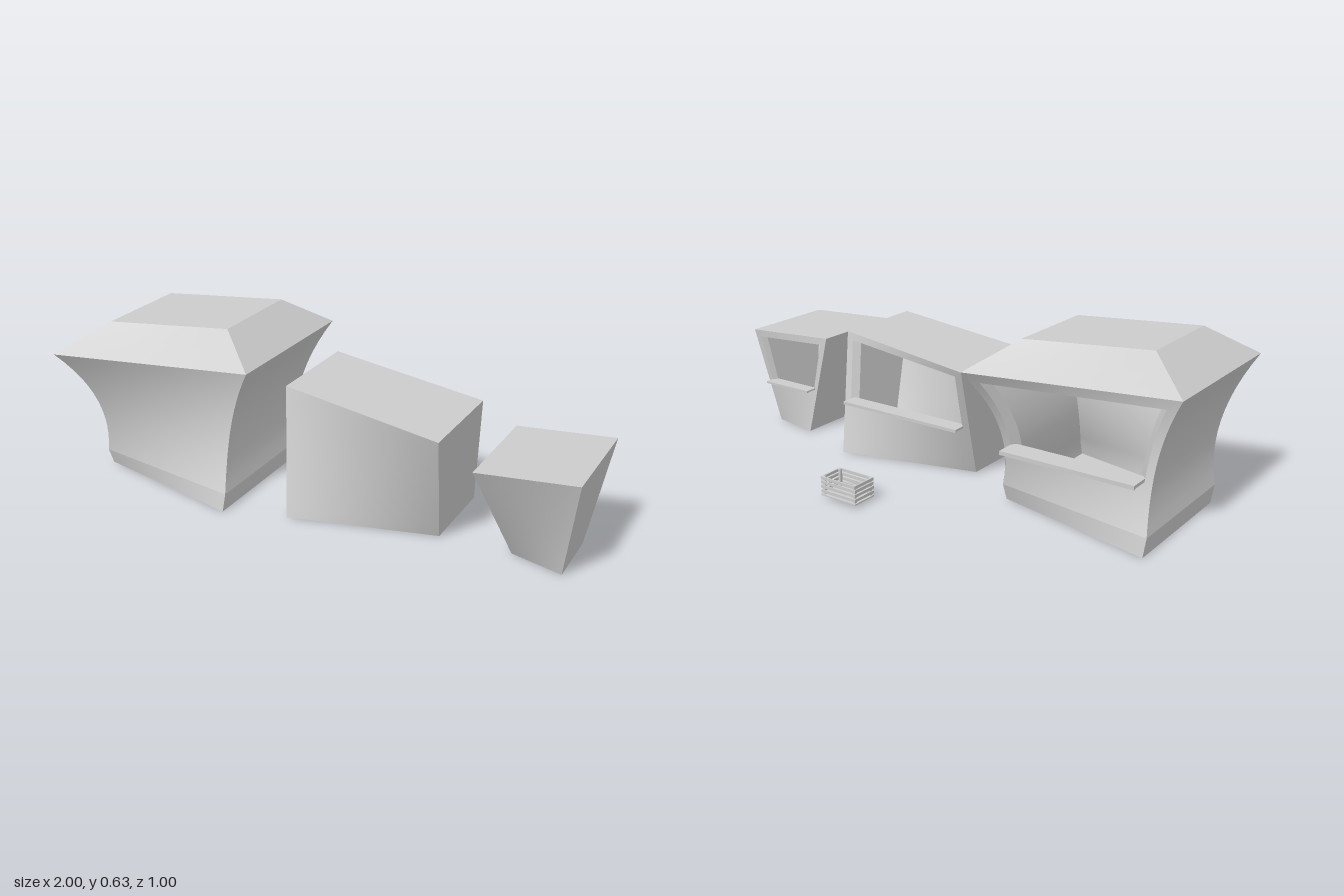
import * as THREE from 'three';
import { mergeGeometries } from 'three/addons/utils/BufferGeometryUtils.js';

const material = new THREE.MeshStandardMaterial({ color: 0xcccccc, side: THREE.DoubleSide });
const lerp = THREE.MathUtils.lerp;
const mix = (a, b, t) => new THREE.Vector3().lerpVectors(a, b, t);

// Grid surface from f(u, v); its front looks along u x v unless flipped.
function patch(f, [u0, u1, v0, v1] = [0, 1, 0, 1], nu = 10, nv = 10, flip = false) {
  const positions = [], index = [];
  for (let j = 0; j <= nv; j++) {
    for (let i = 0; i <= nu; i++) {
      positions.push(...f(lerp(u0, u1, i / nu), lerp(v0, v1, j / nv)).toArray());
    }
  }
  for (let j = 0; j < nv; j++) {
    for (let i = 0; i < nu; i++) {
      const a = j * (nu + 1) + i, b = a + 1, c = a + nu + 1, d = c + 1;
      index.push(...(flip ? [a, d, b, a, c, d] : [a, b, d, a, d, c]));
    }
  }
  const geometry = new THREE.BufferGeometry();
  geometry.setAttribute('position', new THREE.Float32BufferAttribute(positions, 3));
  geometry.setIndex(index);
  geometry.computeVertexNormals();
  return geometry;
}

// Flat quad over four corners running counterclockwise seen from above.
const cap = (c, flip) =>
  patch((u, v) => mix(mix(c[1], c[2], u), mix(c[0], c[3], u), v), undefined, 1, 1, flip);

function addMesh(group, name, geometry) {
  const mesh = new THREE.Mesh(geometry, material);
  mesh.name = name;
  group.add(mesh);
  return mesh;
}

function addBox(group, name, x0, x1, y0, y1, z0, z1) {
  addMesh(group, name, new THREE.BoxGeometry(x1 - x0, y1 - y0, z1 - z0))
    .position.set((x0 + x1) / 2, (y0 + y1) / 2, (z0 + z1) / 2);
}

// Twisted stall with a serving window at the back.
// Corner order: back right, front right, front left, back left as [x, z].
function createStall({ name, height, bottom, top, centre, breaks = [0, 1], scale = () => 1, wall, window: win, shelf, roof }) {
  const group = new THREE.Group();
  group.name = name;

  const corner = (i, v, inset) => {
    const s = scale(v);
    const x = centre[0] + (lerp(bottom[i][0], top[i][0], v) - centre[0]) * s;
    const z = centre[1] + (lerp(bottom[i][1], top[i][1], v) - centre[1]) * s;
    return new THREE.Vector3(
      x + (i < 2 ? inset : -inset), v * height, z + (i === 0 || i === 3 ? inset : -inset));
  };
  const ring = (v, inset = 0) => [0, 1, 2, 3].map((i) => corner(i, v, inset));
  const side = (i, inset) => (u, v) => mix(corner(i, v, inset), corner((i + 1) % 4, v, inset), u);

  const [u0, u1, v0, v1] = win;
  const floorV = 0.04, ceilingV = Math.min(v1 + 0.02, 0.985);
  const parts = [];

  // Outer and inner skins; the back is split into four pieces around the window
  for (const [inset, levels, flip] of [[0, breaks, false], [wall, [floorV, ceilingV], true]]) {
    for (let k = 0; k < levels.length - 1; k++) {
      const lo = levels[k], hi = levels[k + 1];
      for (let i = 0; i < 3; i++) parts.push(patch(side(i, inset), [0, 1, lo, hi], 12, 12, flip));
      const back = side(3, inset);
      if (hi < v0) {
        parts.push(patch(back, [0, 1, lo, hi], 12, 4, flip));
        continue;
      }
      parts.push(
        patch(back, [0, 1, lo, v0], 12, 8, flip),
        patch(back, [0, 1, v1, hi], 12, 2, flip),
        patch(back, [0, u0, v0, v1], 1, 10, flip),
        patch(back, [u1, 1, v0, v1], 1, 10, flip));
    }
  }

  // Window reveals
  const outer = side(3, 0), inner = side(3, wall);
  const reveal = (edge, flip) => parts.push(patch(
    (s, k) => mix(outer(...edge(s)), inner(...edge(s)), k), undefined, 10, 1, flip));
  reveal((s) => [lerp(u0, u1, s), v0], false);
  reveal((s) => [lerp(u0, u1, s), v1], true);
  reveal((s) => [u0, lerp(v0, v1, s)], true);
  reveal((s) => [u1, lerp(v0, v1, s)], false);

  // Base, floor and ceiling
  parts.push(cap(ring(0), true), cap(ring(floorV, wall), false), cap(ring(ceilingV, wall), true));
  addMesh(group, 'walls', mergeGeometries(parts));

  // Roof: flat, or hipped up to a smaller flat top
  const eave = ring(1);
  if (roof) {
    const ridge = roof.corners.map(([x, z]) => new THREE.Vector3(x, roof.y, z));
    const slopes = eave.map((c, i) => patch(
      (u, v) => mix(mix(c, eave[(i + 1) % 4], u), mix(ridge[i], ridge[(i + 1) % 4], u), v),
      undefined, 4, 2));
    addMesh(group, 'roof', mergeGeometries([...slopes, cap(ridge, false)]));
  } else {
    addMesh(group, 'roof', cap(eave, false));
  }

  // Serving shelf with a small lip
  const [x0, x1, y0, y1, zBack, zWall] = shelf;
  addBox(group, 'shelf', x0, x1, y0 + 0.003, y1, zBack + 0.008, zWall);
  addBox(group, 'shelfLip', x0, x1, y0, y1, zBack, zBack + 0.008);
  return group;
}

// Open slatted crate
function createCrate() {
  const group = new THREE.Group();
  group.name = 'crate';
  const x0 = 0.067, x1 = 0.228, z0 = -0.5, z1 = -0.395, t = 0.005;
  addBox(group, 'crateBottom', x0, x1, 0.012, 0.017, z0, z1);
  for (const y of [0.024, 0.042, 0.059, 0.075]) {
    for (const z of [z0, z1 - t]) addBox(group, 'longSlat', x0, x1, y, y + 0.011, z, z + t);
    for (const x of [x0, x1 - t]) addBox(group, 'shortSlat', x, x + t, y, y + 0.011, z0 + t, z1 - t);
  }
  for (const x of [x0 + t, x1 - 3 * t]) {
    for (const z of [z0 + t, z1 - 3 * t]) addBox(group, 'cratePost', x, x + 2 * t, 0.015, 0.086, z, z + 2 * t);
  }
  return group;
}

export function createModel() {
  const model = new THREE.Group();
  model.name = 'marketStalls';

  // Waisted half width of the large stall, relative to a straight taper
  const waist = (v) => {
    const y = v * 0.525;
    const half = y < 0.065 ? lerp(0.3075, 0.3107, y / 0.065) : 0.29 + 0.86 * (y - 0.22) ** 2;
    return half / lerp(0.3075, 0.37, v);
  };

  model.add(createStall({
    name: 'largeStall', height: 0.525, centre: [-0.63, 0.09], scale: waist, breaks: [0, 0.124, 1],
    bottom: [[-0.937, -0.245], [-0.937, 0.29], [-0.322, 0.425], [-0.322, -0.11]],
    top: [[-1, -0.15], [-1, 0.495], [-0.26, 0.325], [-0.26, -0.315]],
    wall: 0.03, window: [0.05, 0.95, 0.44, 0.93],
    shelf: [-0.89, -0.37, 0.225, 0.24, -0.237, -0.145],
    roof: { y: 0.635, corners: [[-0.84, -0.03], [-0.84, 0.345], [-0.41, 0.21], [-0.41, -0.17]] },
  }));

  model.add(createStall({
    name: 'mediumStall', height: 0.465, centre: [0.185, 0.12],
    bottom: [[-0.09, 0.03], [-0.09, 0.35], [0.46, 0.21], [0.46, -0.113]],
    top: [[-0.155, -0.165], [-0.155, 0.225], [0.525, 0.397], [0.525, 0.012]],
    wall: 0.025, window: [0.05, 0.95, 0.45, 0.94],
    shelf: [-0.09, 0.455, 0.203, 0.215, -0.108, -0.04],
  }));

  model.add(createStall({
    name: 'smallStall', height: 0.405, centre: [0.83, 0.15],
    bottom: [[0.73, -0.012], [0.73, 0.2], [0.928, 0.25], [0.928, 0.02]],
    top: [[0.66, 0.03], [0.66, 0.43], [1, 0.362], [1, -0.038]],
    wall: 0.018, window: [0.07, 0.93, 0.45, 0.93],
    shelf: [0.713, 0.943, 0.178, 0.187, -0.04, 0.015],
  }));

  model.add(createCrate());
  return model;
}
